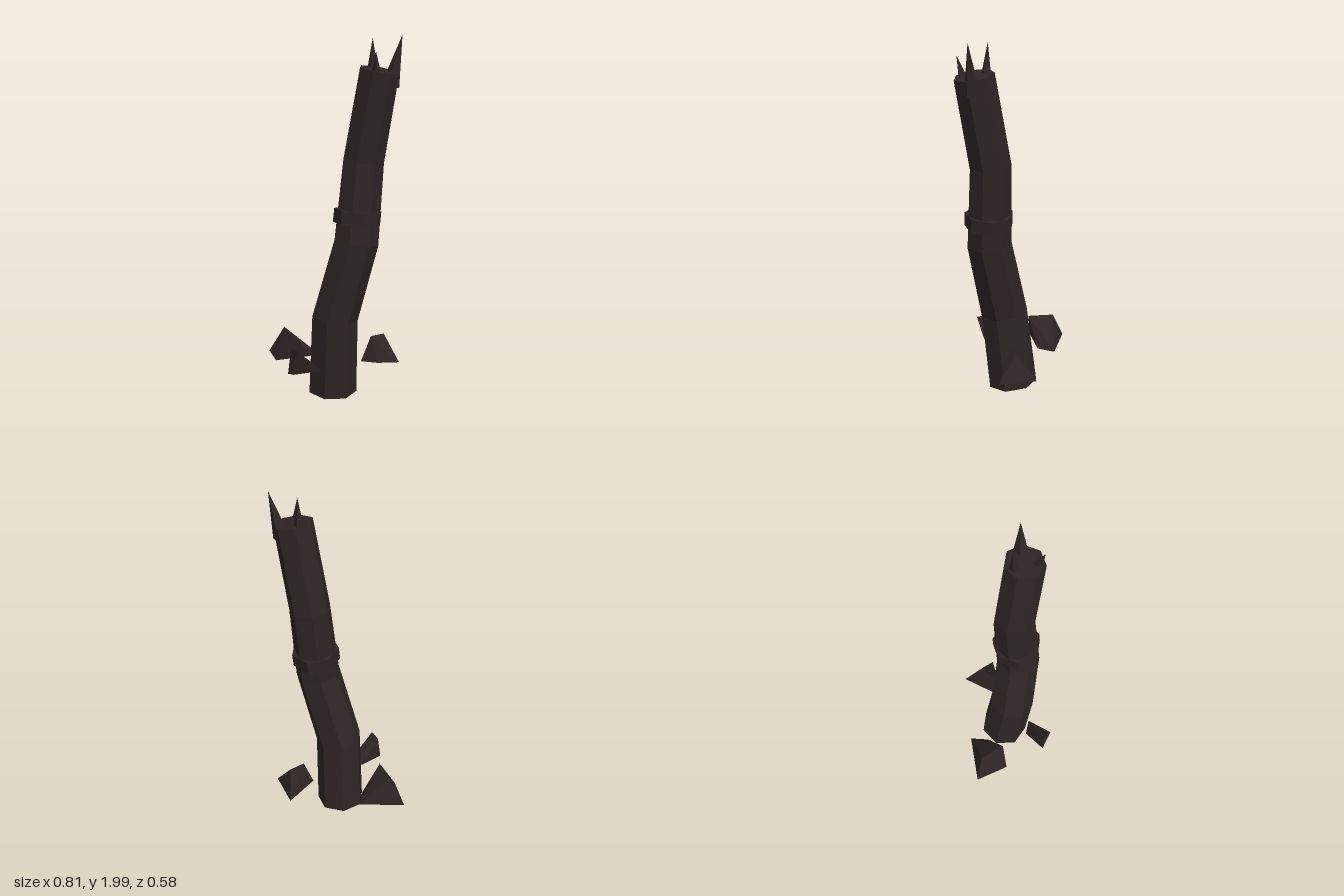
import * as THREE from 'three';
import { ConvexGeometry } from 'three/addons/geometries/ConvexGeometry.js';

const bark = new THREE.MeshStandardMaterial({ color: 0x2d2524 });
bark.name = 'charredBark';

const SIDES = 7;
const V = (x, y, z) => new THREE.Vector3(x, y, z);

// Faceted normals for a crisp low-poly look
function faceted(geometry) {
  const g = geometry.index ? geometry.toNonIndexed() : geometry;
  g.computeVertexNormals();
  return g;
}

function part(name, geometry) {
  const mesh = new THREE.Mesh(faceted(geometry), bark);
  mesh.name = name;
  return mesh;
}

// Bent trunk: one cylinder whose rings follow a crooked path
function trunkGeometry() {
  const rings = [
    { c: V(0.012, 0.02, -0.012), r: 0.137 },
    { c: V(0.038, 0.46, 0.03), r: 0.13 },
    { c: V(0.165, 0.895, 0.047), r: 0.123 },
    { c: V(0.195, 1.335, 0.018), r: 0.113 },
    { c: V(0.29, 1.82, 0.054), r: 0.107 },
  ];
  const n = rings.length - 1;
  const tangents = rings.map((ring, i) => {
    const t = V(0, 0, 0);
    if (i > 0) t.add(ring.c.clone().sub(rings[i - 1].c).normalize());
    if (i < n) t.add(rings[i + 1].c.clone().sub(ring.c).normalize());
    return t.normalize();
  });
  const g = new THREE.CylinderGeometry(1, 1, n, SIDES, n);
  const p = g.attributes.position;
  for (let i = 0; i < p.count; i++) {
    const k = Math.round(p.getY(i) + n / 2);
    const { c, r } = rings[k];
    const t = tangents[k];
    const dx = p.getX(i) * r, dz = p.getZ(i) * r;
    // lean each ring square to the path
    p.setXYZ(i, c.x + dx, c.y - (dx * t.x + dz * t.z) / t.y, c.z + dz);
  }
  return g;
}

// Four-sided spike from a base centre to a tip
function spike(base, tip, radius) {
  const axis = tip.clone().sub(base);
  const mesh = part('splinter', new THREE.ConeGeometry(radius, axis.length(), 4));
  mesh.position.copy(base).addScaledVector(axis, 0.5);
  mesh.quaternion.setFromUnitVectors(V(0, 1, 0), axis.normalize());
  return mesh;
}

// Wedge-shaped root: four ground corners and a two-point ridge, as [x, z]
function root(corners, ridge, low, high) {
  return part('root', new ConvexGeometry([
    ...corners.map(([x, z]) => V(x, low, z)),
    ...ridge.map(([x, z]) => V(x, high, z)),
  ]));
}

export function createModel() {
  const model = new THREE.Group();
  model.name = 'burntTreeTrunk';
  model.add(part('trunk', trunkGeometry()));

  // Raised collar around the middle, turned half a facet
  const collar = part('collar',
    new THREE.CylinderGeometry(0.134, 0.134, 0.075, SIDES, 1, false, Math.PI / SIDES));
  collar.position.set(0.175, 1.027, 0.038);
  collar.quaternion.setFromUnitVectors(V(0, 1, 0), V(0.08, 1, -0.07).normalize());
  model.add(collar);

  // Broken splinters at the top
  const splinters = new THREE.Group();
  splinters.name = 'splinters';
  splinters.add(
    spike(V(0.243, 1.76, 0.012), V(0.24, 1.985, 0), 0.04),
    spike(V(0.345, 1.735, 0.028), V(0.405, 2, 0.015), 0.05),
    spike(V(0.29, 1.76, 0.105), V(0.3, 1.915, 0.15), 0.037),
  );
  model.add(splinters);

  // Three stub roots
  const roots = new THREE.Group();
  roots.name = 'roots';
  roots.add(
    root([[-0.41, -0.115], [-0.155, -0.195], [-0.147, -0.09], [-0.305, 0.05]],
      [[-0.31, -0.1], [-0.22, 0.015]], 0.178, 0.335),
    root([[0.23, -0.29], [0.37, -0.135], [0.26, -0.085], [0.16, -0.085]],
      [[0.265, -0.185], [0.21, -0.11]], 0.178, 0.323),
    root([[-0.155, 0.255], [-0.12, 0.262], [0.01, 0.145], [-0.075, 0.14]],
      [[-0.14, 0.245], [-0.088, 0.29]], 0.178, 0.32),
  );
  model.add(roots);
  return model;
}
